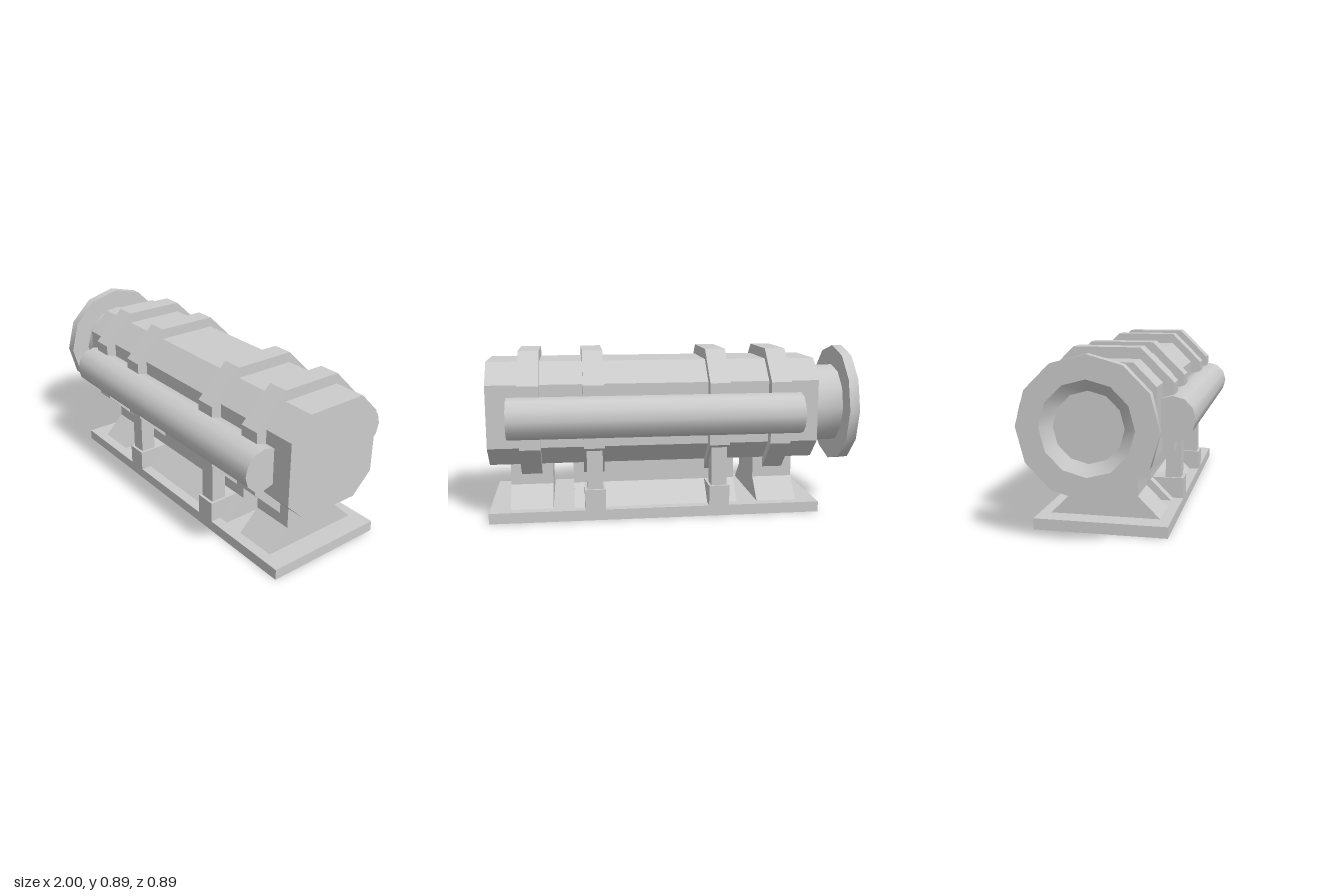
import * as THREE from 'three';
import { toCreasedNormals } from 'three/addons/utils/BufferGeometryUtils.js';

const AXIS_Y = 0.557; // height of the machine's main axis

export function createModel() {
  const model = new THREE.Group();
  const material = new THREE.MeshStandardMaterial({ color: 0xcccccc });

  function add(name, geometry, x = 0, y = 0, z = 0) {
    const mesh = new THREE.Mesh(geometry, material);
    mesh.name = name;
    mesh.position.set(x, y, z);
    model.add(mesh);
  }

  function box(name, x0, x1, y0, y1, z0, z1) {
    add(name, new THREE.BoxGeometry(x1 - x0, y1 - y0, z1 - z0),
      (x0 + x1) / 2, (y0 + y1) / 2, (z0 + z1) / 2);
  }

  // Prism along x; the half profile [z, y] runs bottom to top and is mirrored in z
  function prism(name, x0, x1, half) {
    const right = half.map(([z, y]) => new THREE.Vector2(z, y));
    const left = half.map(([z, y]) => new THREE.Vector2(-z, y)).reverse();
    const geometry = new THREE.ExtrudeGeometry(new THREE.Shape([...right, ...left]),
      { depth: x1 - x0, bevelEnabled: false });
    geometry.rotateY(Math.PI / 2);
    add(name, geometry, x0);
  }

  // Base plate
  box('basePlate', -0.78, 1, 0, 0.057, -0.335, 0.335);

  // Octagonal housing
  prism('housing', -0.78, 1, [[0.167, 0.28], [0.278, 0.39], [0.278, 0.724], [0.167, 0.835]]);

  // Raised bands around the housing
  for (const x of [-0.613, -0.28, 0.387, 0.722]) {
    prism('band', x, x + 0.11, [[0.167, 0.224], [0.335, 0.39], [0.335, 0.724], [0.167, 0.89]]);
  }

  // Flared pedestals between plate and housing
  for (const [x0, x1] of [[-0.668, -0.447], [-0.335, 0.553], [0.665, 0.89]]) {
    prism('pedestal', x0, x1, [[0.278, 0.057], [0.167, 0.167], [0.167, 0.285]]);
  }

  for (const side of [-1, 1]) {
    // Side tubes
    const tube = new THREE.CylinderGeometry(0.111, 0.111, 1.555, 12);
    tube.rotateZ(Math.PI / 2);
    add('sideTube', tube, 0.112, AXIS_Y, side * 0.335);

    // Support posts on blocks, under the two middle bands
    for (const x of [-0.225, 0.442]) {
      const span = (a, b) => (side > 0 ? [a, b] : [-b, -a]);
      box('postBlock', x - 0.055, x + 0.055, 0.05, 0.167, ...span(0.15, 0.335));
      box('post', x - 0.042, x + 0.042, 0.16, 0.42, ...span(0.237, 0.32));
    }
  }

  // Neck and flange with a shallow recess, turned about the main axis
  const profile = [
    [0.222, 0.75], [0.222, 0.945], [0.333, 0.945], [0.333, 1],
    [0.222, 1], [0.167, 0.96], [0, 0.96],
  ].map(([r, d]) => new THREE.Vector2(r, d));
  const flange = toCreasedNormals(new THREE.LatheGeometry(profile, 12), 0.6);
  flange.rotateZ(Math.PI / 2);
  add('neckFlange', flange, 0, AXIS_Y, 0);

  return model;
}
